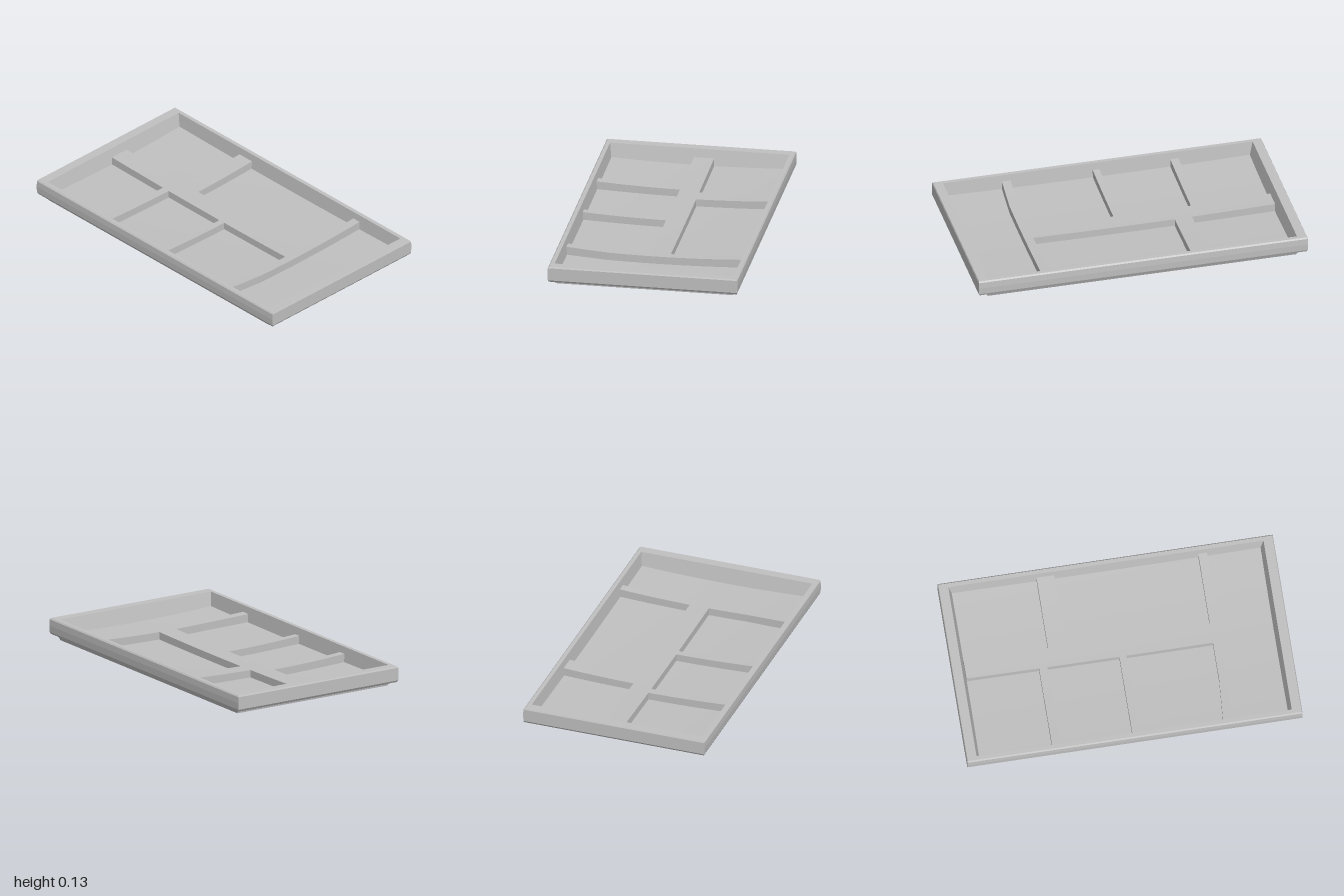
import * as THREE from 'three';

const grey = new THREE.MeshStandardMaterial({ color: 0xc0c0c0 });
grey.name = 'grey plastic';

// gently dished heights of the floor and of the divider tops
const floorY = (x, z) => 0.026 + 0.01 * x * x + 0.045 * z * z;
const topY = (x, z) => 0.07 + 0.015 * x * x + 0.06 * z * z;

// rectangular rings [half width, half depth, height] joined into a flat-faced shell
function shellGeometry(rings) {
  const pos = [];
  const corner = ([w, d, y], i) => [[w, y, d], [w, y, -d], [-w, y, -d], [-w, y, d]][i % 4];
  for (let r = 0; r < rings.length - 1; r++) {
    for (let i = 0; i < 4; i++) {
      const a = corner(rings[r], i), b = corner(rings[r], i + 1);
      const c = corner(rings[r + 1], i + 1), d = corner(rings[r + 1], i);
      pos.push(...a, ...b, ...c, ...a, ...c, ...d);
    }
  }
  const g = new THREE.BufferGeometry();
  g.setAttribute('position', new THREE.Float32BufferAttribute(pos, 3));
  g.computeVertexNormals();
  return g;
}

// divider box between x0..x1 and z0..z1 with a sagging top and optional sideways bend
function dividerGeometry(x0, x1, z0, z1, bend = () => 0) {
  const g = new THREE.BoxGeometry(x1 - x0, 1, z1 - z0, 12, 1, 12);
  g.translate((x0 + x1) / 2, 0, (z0 + z1) / 2);
  const p = g.attributes.position;
  for (let i = 0; i < p.count; i++) {
    const x = p.getX(i), z = p.getZ(i);
    p.setXYZ(i, x + bend(x, z), p.getY(i) > 0 ? topY(x, z) : 0.015, z);
  }
  g.computeVertexNormals();
  return g;
}

export function createModel() {
  const tray = new THREE.Group();
  tray.name = 'dividedTray';
  const add = (name, geometry) => {
    const mesh = new THREE.Mesh(geometry, grey);
    mesh.name = name;
    tray.add(mesh);
    return mesh;
  };

  // foot, overhanging rim and sloped inner walls
  add('rim', shellGeometry([
    [0.925, 0.525, 0], [0.938, 0.533, 0.004], [0.94, 0.537, 0.014],
    [0.955, 0.546, 0.034], [0.993, 0.562, 0.034], [1, 0.567, 0.045],
    [1, 0.569, 0.085], [1, 0.567, 0.122], [0.996, 0.56, 0.13],
    [0.94, 0.536, 0.13], [0.915, 0.522, 0.02],
  ]));

  // underside
  const base = new THREE.PlaneGeometry(1.85, 1.05);
  base.rotateX(Math.PI / 2);
  add('underside', base);

  // dished floor
  const floor = new THREE.PlaneGeometry(1.85, 1.06, 24, 16);
  floor.rotateX(-Math.PI / 2);
  const p = floor.attributes.position;
  for (let i = 0; i < p.count; i++) p.setY(i, floorY(p.getX(i), p.getZ(i)));
  floor.computeVertexNormals();
  add('floor', floor);

  // dividers
  add('longDivider', dividerGeometry(-0.92, 0.56, -0.09, 0.03));
  add('sideDivider', dividerGeometry(0.55, 0.603, -0.528, 0.528,
    (x, z) => -0.07 * Math.max(0, z - 0.27)));
  add('backDivider', dividerGeometry(-0.415, -0.31, -0.528, -0.085));
  add('frontLeftDivider', dividerGeometry(-0.008, 0.033, 0.025, 0.528));
  add('frontRightDivider', dividerGeometry(-0.487, -0.438, 0.025, 0.528));

  return tray;
}
